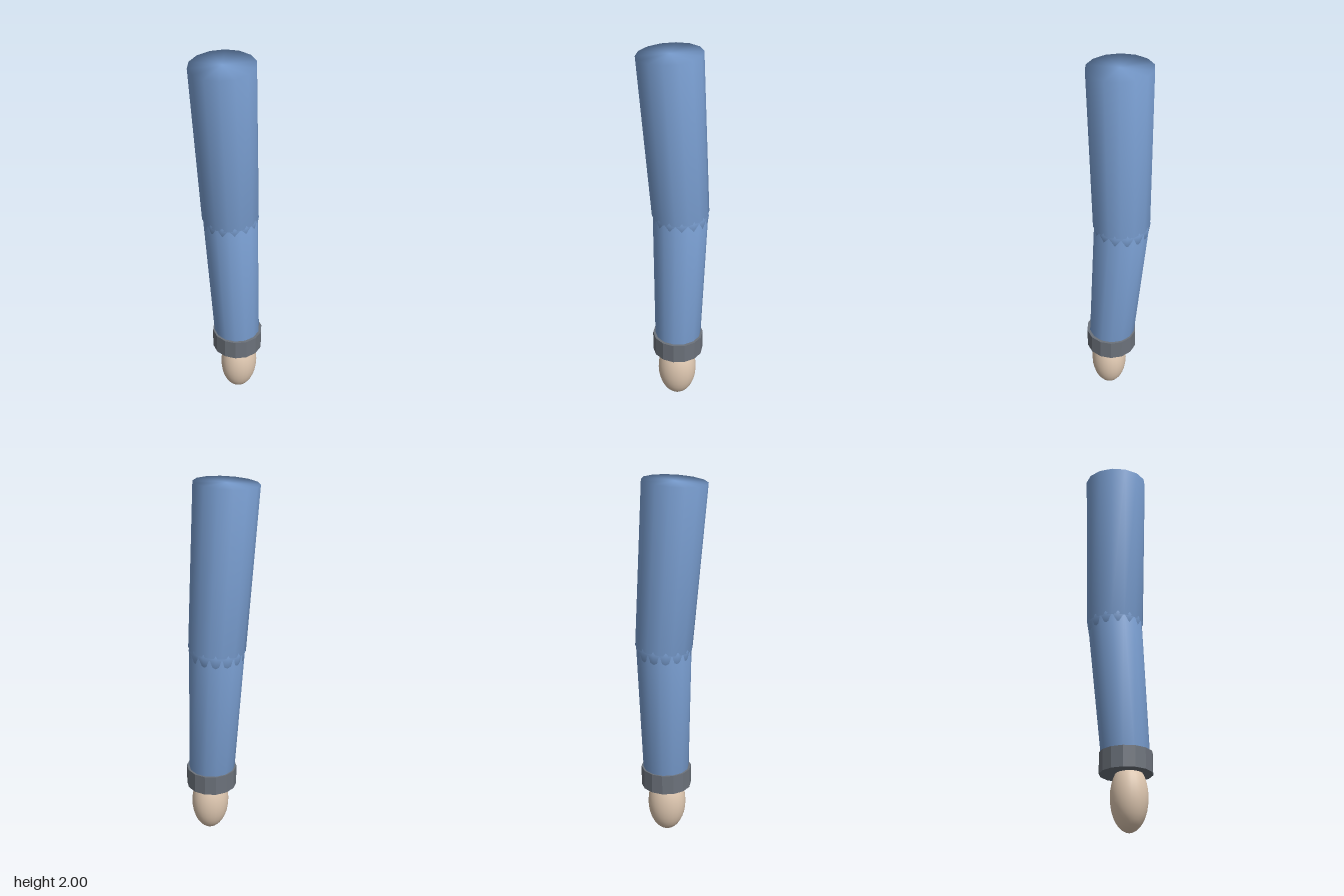
import * as THREE from 'three';
import { mergeVertices } from 'three/addons/utils/BufferGeometryUtils.js';

const SIDES = 14;

// Tapered capped tube between two points, with normals shared across the rims
function limb(name, top, bottom, rTop, rBottom, material) {
  const axis = top.clone().sub(bottom);
  let geo = new THREE.CylinderGeometry(rTop, rBottom, axis.length(), SIDES);
  geo.deleteAttribute('normal');
  geo.deleteAttribute('uv');
  geo = mergeVertices(geo, 1e-4);
  geo.computeVertexNormals();
  const mesh = new THREE.Mesh(geo, material);
  mesh.name = name;
  mesh.position.copy(top).add(bottom).multiplyScalar(0.5);
  mesh.quaternion.setFromUnitVectors(new THREE.Vector3(0, 1, 0), axis.normalize());
  return mesh;
}

export function createModel() {
  const group = new THREE.Group();
  group.name = 'arm';

  const sleeveBlue = new THREE.MeshStandardMaterial({ color: 0x7a9fd2 });
  sleeveBlue.name = 'sleeveBlue';
  const cuffGrey = new THREE.MeshStandardMaterial({ color: 0x6c727b });
  cuffGrey.name = 'cuffGrey';
  const skin = new THREE.MeshStandardMaterial({ color: 0xe0c9b2 });
  skin.name = 'skin';

  const shoulder = new THREE.Vector3(-0.021, 1.99, -0.016);
  const elbow = new THREE.Vector3(0.036, 1.13, -0.013);
  const wrist = new THREE.Vector3(0.034, 0.36, 0.043);

  // Sleeve: upper arm and forearm
  group.add(limb('upperSleeve', shoulder, elbow, 0.166, 0.15, sleeveBlue));
  group.add(limb('lowerSleeve', elbow, wrist, 0.145, 0.124, sleeveBlue));

  // Rounded elbow joint filling the bend
  const joint = new THREE.Mesh(new THREE.SphereGeometry(0.149, 14, 10), sleeveBlue);
  joint.name = 'elbowJoint';
  joint.position.copy(elbow);
  group.add(joint);

  // Faceted cuff
  const cuffGeo = new THREE.CylinderGeometry(0.137, 0.137, 0.11, SIDES).toNonIndexed();
  cuffGeo.computeVertexNormals();
  const cuff = new THREE.Mesh(cuffGeo, cuffGrey);
  cuff.name = 'cuff';
  cuff.position.set(0.034, 0.353, 0.043);
  group.add(cuff);

  // Egg-shaped hand
  const handGeo = new THREE.SphereGeometry(1, 24, 16);
  handGeo.scale(0.105, 0.175, 0.096);
  const hand = new THREE.Mesh(handGeo, skin);
  hand.name = 'hand';
  hand.position.set(0.033, 0.18, 0.058);
  group.add(hand);

  return group;
}
